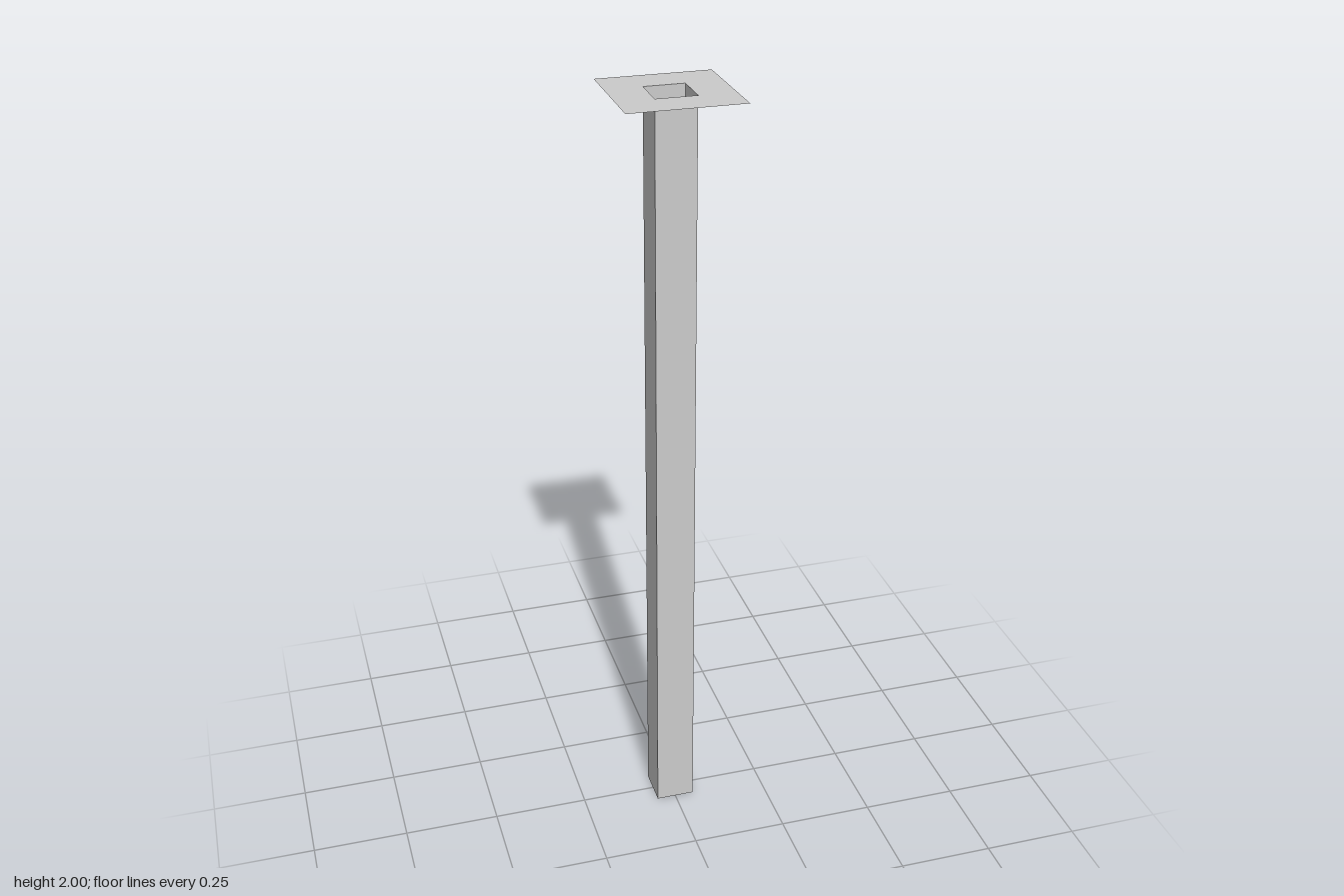
import * as THREE from 'three';

const HEIGHT = 2;
const SHAFT = 0.051; // half width of the hollow shaft
const FLANGE = 0.144; // half width of the top flange

// Corners of a square centred on the origin
const square = (h) => [[-h, -h], [h, -h], [h, h], [-h, h]].map(([x, y]) => new THREE.Vector2(x, y));

export function createModel() {
  const group = new THREE.Group();
  const material = new THREE.MeshStandardMaterial({
    color: 0xcccccc, flatShading: true, side: THREE.DoubleSide,
  });

  // Square shaft: thin walls, open at both ends
  const radius = SHAFT * Math.SQRT2;
  const shaftGeometry = new THREE.CylinderGeometry(radius, radius, HEIGHT, 4, 1, true, Math.PI / 4);
  const shaft = new THREE.Mesh(shaftGeometry, material);
  shaft.name = 'shaft';
  shaft.position.y = HEIGHT / 2;
  group.add(shaft);

  // Flat flange around the top opening
  const outline = new THREE.Shape(square(FLANGE));
  outline.holes.push(new THREE.Path(square(SHAFT).reverse()));
  const flange = new THREE.Mesh(new THREE.ShapeGeometry(outline), material);
  flange.name = 'topFlange';
  flange.rotation.x = -Math.PI / 2;
  flange.position.y = HEIGHT;
  group.add(flange);

  return group;
}
